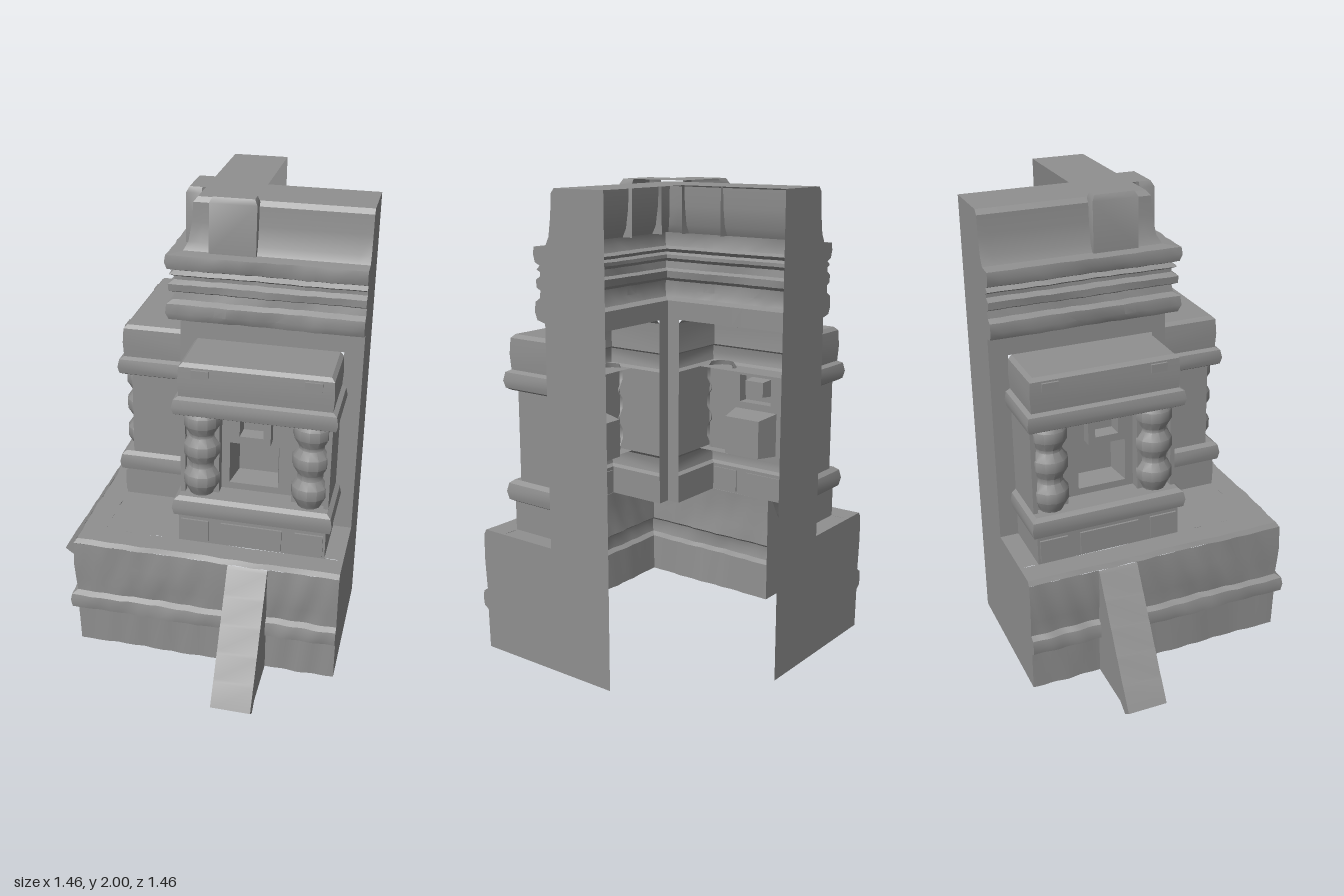
import * as THREE from 'three';
import { toCreasedNormals } from 'three/addons/utils/BufferGeometryUtils.js';

const END = 0.73;   // open ends of both wings
const INNER = -0.26; // inner edge of the hollow shell

// Surface through rows of [x, y, z] points.
function sheet(rows) {
  const n = rows[0].length, index = [];
  for (let j = 0; j < rows.length - 1; j++) {
    for (let i = 0; i < n - 1; i++) {
      const a = j * n + i, b = a + 1, c = a + n, d = c + 1;
      index.push(a, b, d, a, d, c);
    }
  }
  const g = new THREE.BufferGeometry();
  g.setAttribute('position', new THREE.Float32BufferAttribute(rows.flat(2), 3));
  g.setIndex(index);
  return g;
}

// Weathering: a shallow dent that fades at both ends of a strip.
const dent = (x, y, t) => 0.007 * Math.sin(19 * x + 7 * y) * Math.sin(31 * x - 23 * y) * Math.sqrt(4 * t * (1 - t));

// Profile of [outward, y] run along a wing; without a left end it mitres at the corner.
function course(profile, left, right = END) {
  const steps = 16;
  return sheet(profile.map(([d, y]) => Array.from({ length: steps + 1 }, (_, i) => {
    const t = i / steps, x0 = left ?? -d, x = x0 + (right - x0) * t;
    return [x, y, d > 0.05 ? d + dent(x, y, t) : d];
  })));
}

// Profile of [offset, y] run round three sides of a block, open at the back.
const ring = (xl, xr, zb, zf, profile) => sheet(profile.map(([o, y]) =>
  [[xl - o, y, zb], [xl - o, y, zf + o], [xr + o, y, zf + o], [xr + o, y, zb]]));

const slab = (xl, xr, y, zb, zf) => sheet([[[xl, y, zf], [xr, y, zf]], [[xl, y, zb], [xr, y, zb]]]);

// Flat plate of [z, y] points standing across x.
function plate(points, x) {
  const g = new THREE.ShapeGeometry(new THREE.Shape(points.map(p => new THREE.Vector2(...p))));
  return g.rotateY(-Math.PI / 2).translate(x, 0, 0);
}

// Tube of four sides between two [xl, xr, yb, yt, z] rectangles, with an optional back.
function recess(front, back, closed) {
  const loop = ([a, b, c, d, z]) => [[a, c, z], [a, d, z], [b, d, z], [b, c, z], [a, c, z]];
  const sides = sheet([loop(front), loop(back)]);
  const [a, b, c, d, z] = back;
  return closed ? [sides, sheet([[[a, c, z], [b, c, z]], [[a, d, z], [b, d, z]]])] : [sides];
}

function buildWing() {
  const parts = [];
  const add = (name, ...geometries) => geometries.forEach(g => parts.push([name, g]));

  // Plinth, broken by the stair
  const base = [[0.41, 0.03], [0.415, 0.2], [0.437, 0.215], [0.442, 0.25], [0.437, 0.28],
    [0.415, 0.295], [0.42, 0.36], [0.425, 0.44], [0.422, 0.54]];
  add('plinth', course(base, undefined, 0.26), course(base, 0.43));
  add('plinthEdge', course([[0.422, 0.54], [0.41, 0.56]]));
  add('plinthTop', course([[0.41, 0.56], [0.31, 0.56]]));
  const ledge = [[0.31, 0.56], [0.04, 0.56]];
  add('plinthTop', course(ledge, undefined, 0.02), course(ledge, 0.65));

  // Steep stair with shallow treads
  const flight = [[0.64, 0.03], [0.69, 0], [0.73, 0.03]];
  for (let i = 1; i <= 5; i++) {
    const z = 0.73 - 0.06 * i, y = 0.03 + 0.102 * i;
    flight.push([z + 0.006, y - 0.012], [z - 0.004, y]);
  }
  add('stair', sheet(flight.map(([z, y]) => [[0.26, y, z], [0.43, y, z]])));
  const cheek = [[0.41, 0.03], ...flight, [0.41, 0.54]];
  add('stairCheek', plate(cheek, 0.26), plate(cheek, 0.43));

  // Tower wall, cornice mouldings and roof
  const wall = [[0.04, 0.56], [0.04, 1.39]];
  add('towerWall', course(wall, undefined, 0.02), course(wall, 0.65));
  const cornice = [[0.04, 1.39], [0.04, 1.47], [0.08, 1.48], [0.092, 1.51], [0.088, 1.55], [0.065, 1.565],
    [0.06, 1.595], [0.08, 1.605], [0.082, 1.635], [0.06, 1.65], [0.06, 1.665], [0.078, 1.675],
    [0.06, 1.69], [0.085, 1.7], [0.094, 1.73], [0.09, 1.76], [0.03, 1.765]];
  const crown = [[0.03, 1.765], [0.012, 1.8], [0, 1.88], [-0.004, 1.96], [-0.02, 1.98], [INNER, 1.98]];
  add('cornice', course(cornice));
  add('crown', course(crown));
  add('crownBlock',
    ring(0.08, 0.275, -0.02, 0.045, [[0, 1.765], [0, 1.975], [-0.012, 1.998]]),
    slab(0.092, 0.263, 1.998, INNER, 0.033));

  // End wall following the whole section
  add('endWall', plate([...base, [0.41, 0.56], ...wall, ...cornice.slice(1), ...crown.slice(1), [INNER, 0.03]], END));

  // Shrine: footing, head and side walls
  const xl = 0.02, xr = 0.65, zf = 0.31;
  add('shrineFooting', ring(xl, xr, 0.04, zf, [[0, 0.56], [0, 0.685], [0.018, 0.695], [0.025, 0.73], [0.018, 0.765], [0, 0.78]]));
  add('shrineHead', ring(xl, xr, 0.04, zf, [[0, 1.16], [0.018, 1.17], [0.025, 1.2], [0.018, 1.235], [0, 1.245],
    [0.004, 1.31], [0, 1.375], [-0.015, 1.39]]));
  add('shrineRoof', slab(xl + 0.015, xr - 0.015, 1.39, 0.04, zf - 0.015));
  add('nicheSill', slab(xl, xr, 0.78, 0.2, zf));
  add('nicheCeiling', slab(xl, xr, 1.16, 0.2, zf));
  const side = [[xl, 0.04], [xl, 0.275], [0.04, 0.275], [0.04, 0.25], [0.18, 0.25], [0.18, 0.2]];
  const span = path => sheet([0.78, 1.16].map(y => path.map(([x, z]) => [x, y, z])));
  add('shrineWall', span(side), span(side.map(([x, z]) => [xl + xr - x, z]).reverse()));

  // Columns of stacked bulges, half round
  const beads = [[0.05, 0.78]];
  for (const y of [0.855, 0.995, 1.125]) {
    beads.push([0.055, y - 0.062], [0.078, y - 0.022], [0.078, y + 0.022], [0.055, y + 0.055]);
  }
  beads.push([0.06, 1.16]);
  for (const x of [0.105, 0.565]) {
    add('column', new THREE.LatheGeometry(beads.map(p => new THREE.Vector2(...p)), 6, -Math.PI / 2, Math.PI)
      .translate(x, 0, 0.245));
  }

  // Niche back with doorway and framed window
  const back = new THREE.Shape([[0.18, 0.78], [0.49, 0.78], [0.49, 1.16], [0.18, 1.16]].map(p => new THREE.Vector2(...p)));
  const hole = pts => back.holes.push(new THREE.Path(pts.map(p => new THREE.Vector2(...p))));
  hole([[0.215, 0.81], [0.425, 0.81], [0.425, 1], [0.215, 1]]);
  hole([[0.235, 1.03], [0.395, 1.03], [0.395, 1.15], [0.235, 1.15]]);
  add('nicheBack', new THREE.ShapeGeometry(back).translate(0, 0, 0.2));
  add('doorway', ...recess([0.215, 0.425, 0.81, 1, 0.2], [0.235, 0.405, 0.82, 0.985, 0.09], true));
  add('windowFrame', ...recess([0.235, 0.395, 1.03, 1.15, 0.2], [0.235, 0.395, 1.03, 1.15, 0.25]),
    ...recess([0.235, 0.395, 1.03, 1.15, 0.25], [0.265, 0.365, 1.06, 1.135, 0.25]),
    ...recess([0.265, 0.365, 1.06, 1.135, 0.25], [0.27, 0.36, 1.065, 1.13, 0.19], true));

  // Small tablets on the head and blocks on the footing
  for (const x of [0.11, 0.57]) {
    add('tablet', new THREE.BoxGeometry(0.07, 0.035, 0.012).translate(x, 1.35, 0.314));
  }
  for (const x of [0.09, 0.335, 0.58]) {
    add('footingBlock', new THREE.BoxGeometry(x === 0.335 ? 0.26 : 0.12, 0.1, 0.014).translate(x, 0.62, 0.312));
  }
  return parts;
}

// Reflects a geometry across the corner diagonal, keeping faces outward.
function reflect(source) {
  const g = source.clone().applyMatrix4(new THREE.Matrix4().set(0, 0, -1, 0, 0, 1, 0, 0, -1, 0, 0, 0, 0, 0, 0, 1));
  const idx = g.index.array;
  for (let i = 0; i < idx.length; i += 3) [idx[i + 1], idx[i + 2]] = [idx[i + 2], idx[i + 1]];
  return g;
}

export function createModel() {
  const stone = new THREE.MeshStandardMaterial({ color: 0x909090, side: THREE.DoubleSide });
  stone.name = 'stone';
  const model = new THREE.Group();
  model.name = 'templeCorner';
  const front = new THREE.Group(), flank = new THREE.Group();
  front.name = 'frontWing';
  flank.name = 'sideWing';
  for (const [name, geometry] of buildWing()) {
    for (const [wing, g] of [[front, geometry], [flank, reflect(geometry)]]) {
      const mesh = new THREE.Mesh(toCreasedNormals(g, 0.6), stone);
      mesh.name = name;
      wing.add(mesh);
    }
  }
  model.add(front, flank);
  return model;
}
